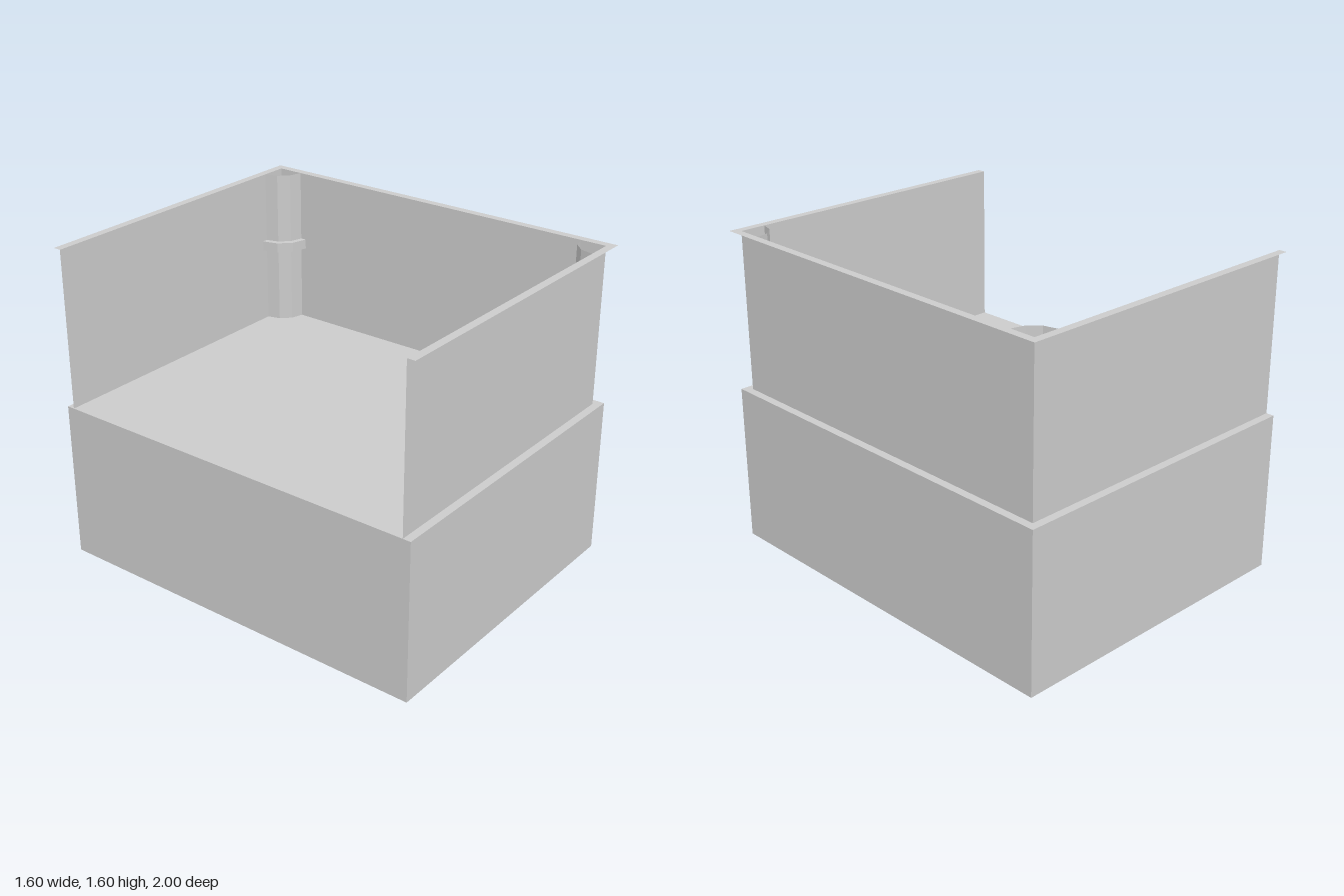
import * as THREE from 'three';

const BASE_H = 0.8, TOP = 1.6;   // floor level and parapet top
const WX = 0.76, WZ = 0.96;      // wall planes

export function createModel() {
  const model = new THREE.Group();
  const solid = new THREE.MeshStandardMaterial({ color: 0xcccccc, flatShading: true });
  const thin = new THREE.MeshStandardMaterial({ color: 0xcccccc, flatShading: true, side: THREE.DoubleSide });

  const add = (name, geometry, material, x, y, z, parent = model) => {
    const mesh = new THREE.Mesh(geometry, material);
    mesh.name = name;
    mesh.position.set(x, y, z);
    parent.add(mesh);
    return mesh;
  };

  // Solid base block, its top is the floor
  add('base', new THREE.BoxGeometry(1.6, BASE_H, 2), solid, 0, BASE_H / 2, 0);

  // Thin walls on three sides, open towards -x
  const wallH = TOP - BASE_H, wallY = (TOP + BASE_H) / 2;
  const sideLength = WX + 0.8;
  add('frontWall', new THREE.PlaneGeometry(sideLength, wallH), thin, (WX - 0.8) / 2, wallY, WZ);
  add('backWall', new THREE.PlaneGeometry(sideLength, wallH), thin, (WX - 0.8) / 2, wallY, -WZ).rotation.y = Math.PI;
  add('leftWall', new THREE.PlaneGeometry(2 * WZ, wallH), thin, WX, wallY, 0).rotation.y = Math.PI / 2;

  // Flat U-shaped rim overhanging outwards
  const rimShape = new THREE.Shape([
    [-0.8, -1], [0.8, -1], [0.8, 1], [-0.8, 1],
    [-0.8, WZ], [WX, WZ], [WX, -WZ], [-0.8, -WZ],
  ].map(([x, y]) => new THREE.Vector2(x, y)));
  add('rim', new THREE.ShapeGeometry(rimShape).rotateX(-Math.PI / 2), thin, 0, TOP, 0);

  // Quarter-round pipe with a collar in each inner corner
  const collarProfile = [[0.13, 0], [0.16, 0], [0.16, 0.05], [0.13, 0.05]]
    .map(([r, y]) => new THREE.Vector2(r, y));
  for (const side of [1, -1]) {
    const start = side > 0 ? Math.PI : Math.PI * 1.5;
    const corner = new THREE.Group();
    corner.name = side > 0 ? 'frontPipe' : 'backPipe';
    corner.position.set(WX, 0, side * WZ);
    model.add(corner);
    add('pipe', new THREE.CylinderGeometry(0.13, 0.13, wallH, 3, 1, true, start, Math.PI / 2),
      thin, 0, wallY, 0, corner);
    add('collar', new THREE.LatheGeometry(collarProfile, 3, start, Math.PI / 2),
      thin, 0, 1.19, 0, corner);
  }

  return model;
}
